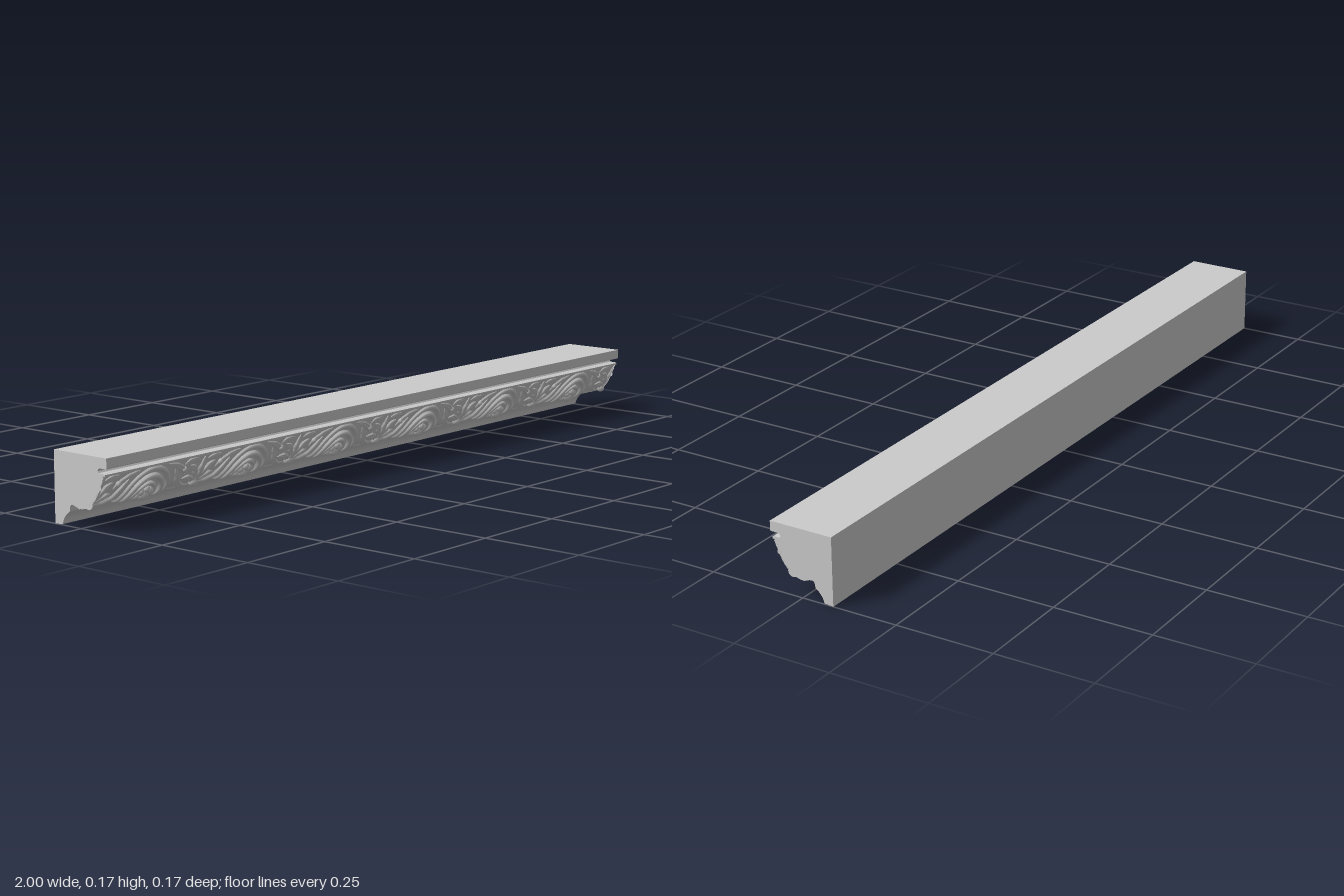
import * as THREE from 'three';
import { mergeGeometries, toCreasedNormals } from 'three/addons/utils/BufferGeometryUtils.js';

const PITCH = 1 / 3;
const V3 = (x, y, z = 0) => new THREE.Vector3(x, y, z);

// Curved ground of the carved band (z, y), from its back lower edge up to its top edge
const bandPoints = [[-0.025, 0.05], [-0.008, 0.049], [0.016, 0.053], [0.037, 0.07], [0.054, 0.096], [0.071, 0.128]];
const band = new THREE.CatmullRomCurve3(bandPoints.map(([z, y]) => V3(0, y, z)));
const bandLength = band.getLength();

// Place flat ornament coordinates (x, s along band, h above band) on the curved ground
function wrap(x, s, h) {
  const u = THREE.MathUtils.clamp(s / bandLength, 0, 1);
  const p = band.getPointAt(u), t = band.getTangentAt(u);
  return [THREE.MathUtils.clamp(x, -1, 1), p.y - t.z * h, p.z + t.y * h];
}

function wrapGeometry(geo, x0) {
  const pos = geo.attributes.position;
  for (let i = 0; i < pos.count; i++) {
    pos.setXYZ(i, ...wrap(pos.getX(i) + x0, pos.getY(i), pos.getZ(i)));
  }
  geo.computeVertexNormals();
  return geo;
}

// Raised strip along a path: a plain rounded band, or a pointed leaf with a vein and lobes
function strip(points, width, height, leaf = true, steps = 22) {
  const curve = new THREE.CatmullRomCurve3(points.map(([x, s]) => V3(x, s)));
  const across = 8, pos = [], index = [];
  for (let i = 0; i <= steps; i++) {
    const t = i / steps, p = curve.getPoint(t), d = curve.getTangent(t);
    const swell = leaf ? Math.pow(Math.sin(Math.PI * Math.pow(t, 0.8)), 0.7) || 0 : 1;
    const lobe = leaf ? 0.82 + 0.18 * Math.abs(Math.sin(t * Math.PI * 4)) : 1;
    const w = width * swell * lobe;
    for (let j = 0; j <= across; j++) {
      const u = (j / across) * 2 - 1;
      const vein = leaf ? 0.6 + 0.4 * Math.min(1, Math.abs(u) * 2) : 1;
      const h = height * (0.35 + 0.65 * swell) * Math.sqrt(1 - u * u) * vein;
      pos.push(p.x - d.y * w * u, p.y + d.x * w * u, h - 0.002);
      if (i < steps && j < across) {
        const a = i * (across + 1) + j, b = a + across + 1;
        index.push(a, b, a + 1, b, b + 1, a + 1);
      }
    }
  }
  const geo = new THREE.BufferGeometry();
  geo.setAttribute('position', new THREE.Float32BufferAttribute(pos, 3));
  geo.setIndex(index);
  return geo;
}

// Rounded boss
function boss(x, s, rx, rs, h) {
  const geo = new THREE.SphereGeometry(1, 16, 10).scale(rx, rs, h).translate(x, s, 0);
  geo.deleteAttribute('uv');
  geo.deleteAttribute('normal');
  return geo;
}

// Points of an arch standing on the band
function archPoints(rx, rs, s0) {
  const pts = [];
  for (let i = 0; i <= 12; i++) {
    const a = -0.2 + (i / 12) * (Math.PI + 0.4);
    pts.push([Math.cos(a) * rx, s0 + Math.sin(a) * rs]);
  }
  return pts;
}

const mirrored = (pts) => pts.map(([x, s]) => [-x, s]);
const pair = (pts, w, h) => [strip(pts, w, h), strip(mirrored(pts), w, h)];

const motifs = {
  // Concentric hoops around a domed flower
  archHoops: () => [
    strip(archPoints(0.071, 0.083, 0.045), 0.0075, 0.009, false, 32),
    strip(archPoints(0.052, 0.063, 0.045), 0.008, 0.012, false, 32),
    strip(archPoints(0.033, 0.042, 0.045), 0.006, 0.01, false, 28),
  ],
  flowerBoss: () => {
    const parts = [boss(0, 0.05, 0.014, 0.015, 0.018)];
    for (let i = 0; i < 7; i++) {
      const a = (i / 7) * Math.PI * 2 + Math.PI / 2;
      parts.push(boss(Math.cos(a) * 0.017, 0.05 + Math.sin(a) * 0.02, 0.0085, 0.01, 0.012));
    }
    return parts;
  },
  // Leaves hanging under the arch feet
  archFeet: () => [
    ...pair([[0.008, 0.018], [0.035, 0.012], [0.06, 0.022], [0.078, 0.04]], 0.009, 0.008),
  ],
};

const leafMotifs = {
  // Upright central spray
  palmette: () => [
    strip([[0, 0.05], [0, 0.09], [0, 0.131]], 0.012, 0.01),
    ...pair([[0.003, 0.06], [0.014, 0.085], [0.026, 0.105], [0.042, 0.112]], 0.009, 0.009),
    ...pair([[0.003, 0.052], [0.02, 0.068], [0.037, 0.077], [0.054, 0.074]], 0.009, 0.009),
    boss(0, 0.052, 0.011, 0.012, 0.013),
    strip([[0, 0.056], [0, 0.03], [0, 0.006]], 0.013, 0.008),
  ],
  // Curling foliage running from the spray towards each arch
  scrollLeaves: () => [
    ...pair([[0.008, 0.042], [0.035, 0.046], [0.06, 0.062], [0.078, 0.09], [0.092, 0.112]], 0.01, 0.01),
    ...pair([[0.05, 0.09], [0.067, 0.108], [0.09, 0.122], [0.122, 0.131]], 0.009, 0.008),
    ...pair([[0.012, 0.122], [0.032, 0.13], [0.052, 0.127], [0.062, 0.116]], 0.006, 0.007),
    ...pair([[0.01, 0.036], [0.036, 0.024], [0.06, 0.027], [0.085, 0.044]], 0.01, 0.009),
    boss(0.06, 0.105, 0.007, 0.008, 0.009),
    boss(-0.06, 0.105, 0.007, 0.008, 0.009),
  ],
};

export function createModel() {
  const group = new THREE.Group();
  const material = new THREE.MeshStandardMaterial({ color: 0xcccccc });
  const add = (name, geo, mat = material) => {
    const mesh = new THREE.Mesh(geo, mat);
    mesh.name = name;
    group.add(mesh);
  };

  // Moulding body: cross-section (z, y) run along x
  const profile = [[-0.083, 0], [-0.059, 0.002], [-0.057, 0.01], [-0.052, 0.019], [-0.045, 0.027],
    [-0.036, 0.034], [-0.034, 0.046], [-0.03, 0.05]];
  for (const p of band.getSpacedPoints(20)) profile.push([p.z, p.y]);
  profile.push([0.077, 0.127], [0.078, 0.132], [0.07, 0.134], [0.058, 0.134], [0.055, 0.138],
    [0.057, 0.143], [0.062, 0.145], [0.081, 0.145], [0.083, 0.147], [0.083, 0.17], [-0.083, 0.17]);
  const shape = new THREE.Shape(profile.map(([z, y]) => new THREE.Vector2(-z, y)));
  const body = new THREE.ExtrudeGeometry(shape, { depth: 2, bevelEnabled: false });
  body.rotateY(Math.PI / 2).translate(-1, 0, 0);
  add('mouldingBody', toCreasedNormals(body, 0.6));

  // Carved repeats: six arches with seven leaf sprays between and at the ends
  const thin = new THREE.MeshStandardMaterial({ color: 0xcccccc, side: THREE.DoubleSide });
  const repeat = (set, count) => {
    for (const [name, make] of Object.entries(set)) {
      for (let i = 0; i < count; i++) {
        const x0 = (i - (count - 1) / 2) * PITCH;
        add(name, mergeGeometries(make().map((g) => wrapGeometry(g, x0))), thin);
      }
    }
  };
  repeat(motifs, 6);
  repeat(leafMotifs, 7);
  return group;
}
